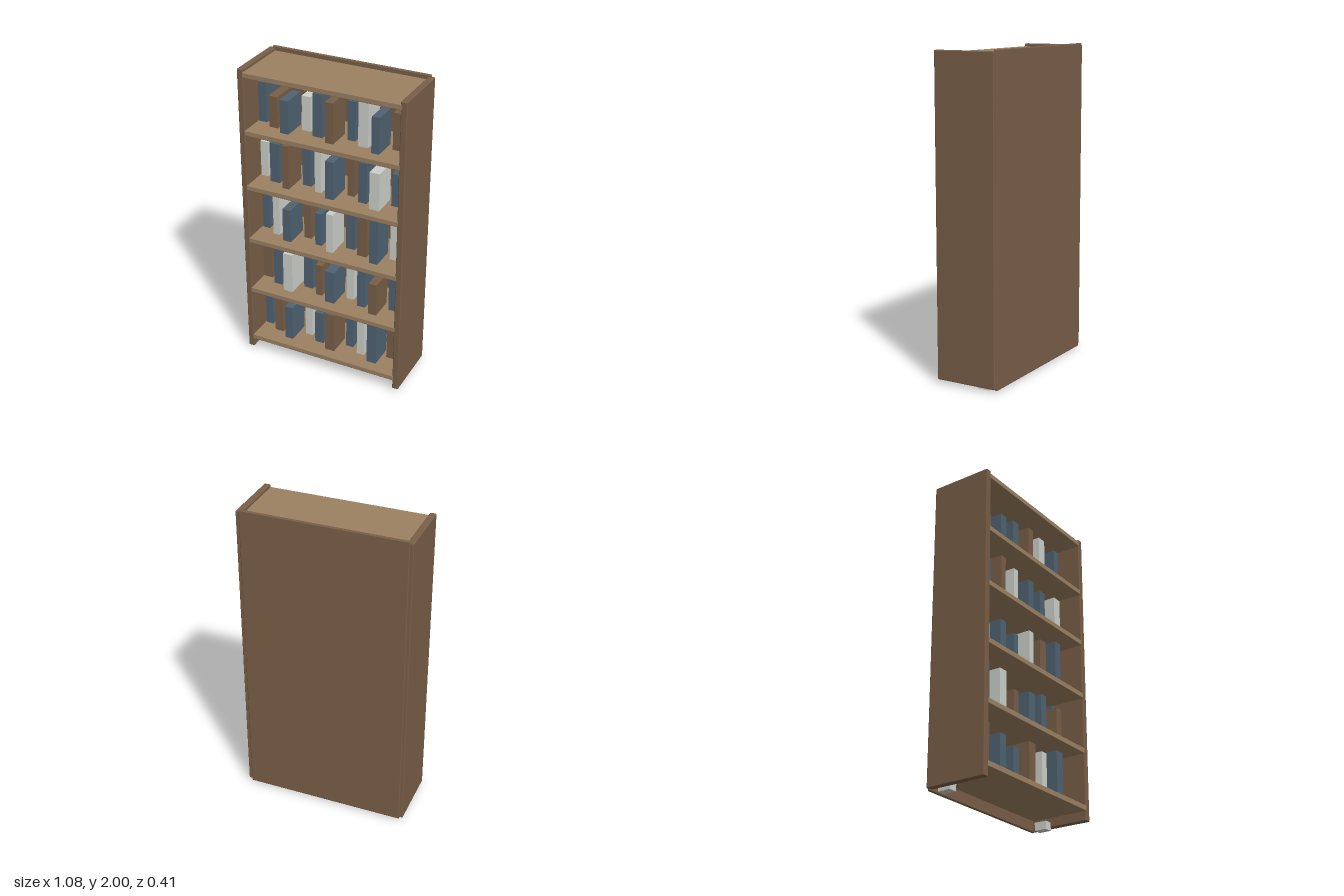
import * as THREE from 'three';
import { RoundedBoxGeometry } from 'three/addons/geometries/RoundedBoxGeometry.js';

const material = (name, color) => Object.assign(new THREE.MeshStandardMaterial({ color }), { name });

export function createModel() {
  const model = new THREE.Group();
  model.name = 'bookcase';
  const darkWood = material('dark wood', 0x795f47);
  const lightWood = material('light wood', 0x9c8162);
  const blue = material('slate blue', 0x4f6373);
  const pale = material('pale grey', 0xcdd1ca);

  // Box given by its lower and upper limits; bevel softens the edges
  function box(name, mat, [x0, x1], [y0, y1], [z0, z1], bevel = 0, parent = model) {
    const size = [x1 - x0, y1 - y0, z1 - z0];
    const geometry = bevel
      ? new RoundedBoxGeometry(...size, 2, bevel)
      : new THREE.BoxGeometry(...size);
    const mesh = new THREE.Mesh(geometry, mat);
    mesh.position.set((x0 + x1) / 2, (y0 + y1) / 2, (z0 + z1) / 2);
    mesh.name = name;
    parent.add(mesh);
  }

  // Carcass
  box('backPanel', darkWood, [-0.518, 0.518], [0.01, 2], [-0.205, -0.185], 0.006);
  for (const [side, s] of [['left', 1], ['right', -1]]) {
    const span = (a, b) => (s > 0 ? [a, b] : [-b, -a]);
    box(side + 'SidePanel', darkWood, span(0.5, 0.54), [0.02, 1.99], [-0.198, 0.202], 0.006);
    box(side + 'Foot', pale, span(0.448, 0.505), [0, 0.052], [-0.14, -0.058]);
  }

  // Shelves, from the top board down
  const shelfTops = [1.972, 1.6, 1.23, 0.857, 0.485, 0.115];
  shelfTops.forEach((y, i) =>
    box(i ? 'shelf' + i : 'topBoard', lightWood, [-0.505, 0.505], [y - 0.034, y], [-0.19, 0.204], 0.004));

  // Books: colours, then widths and heights in thousandths, one row per shelf
  const covers = { b: blue, w: darkWood, p: pale };
  const rows = [
    ['bwbpbwbpbw', [53, 58, 55, 58, 64, 52, 50, 64, 50, 62],
      [257, 203, 213, 223, 277, 260, 250, 294, 230, 235]],
    ['pbwbpbwbpb', [50, 65, 45, 60, 43, 55, 47, 55, 65, 60],
      [235, 262, 288, 283, 303, 250, 267, 267, 245, 213]],
    ['bpbwbpbwbp', [47, 45, 55, 50, 45, 45, 60, 65, 55, 60],
      [256, 288, 224, 234, 224, 266, 266, 292, 303, 292]],
    ['wbpbwbpbwb', [65, 55, 64, 64, 45, 65, 50, 55, 55, 60],
      [243, 310, 274, 295, 222, 227, 274, 290, 222, 290]],
    ['bwbpbwbpbw', [50, 60, 55, 50, 60, 65, 50, 50, 65, 70],
      [217, 302, 242, 290, 229, 277, 212, 285, 308, 246]],
  ];
  rows.forEach(([colours, widths, heights], r) => {
    const row = new THREE.Group();
    row.name = 'bookRow' + (r + 1);
    model.add(row);
    const y = shelfTops[r + 1];
    widths.forEach((w, i) => {
      const x = -0.468 + i * 0.0987;
      const front = 0.04 + (i % 3) * 0.047;
      box('book' + (i + 1), covers[colours[i]], [x - w / 2000, x + w / 2000],
        [y, y + heights[i] / 1000], [front - 0.16, front], 0, row);
    });
  });
  return model;
}
